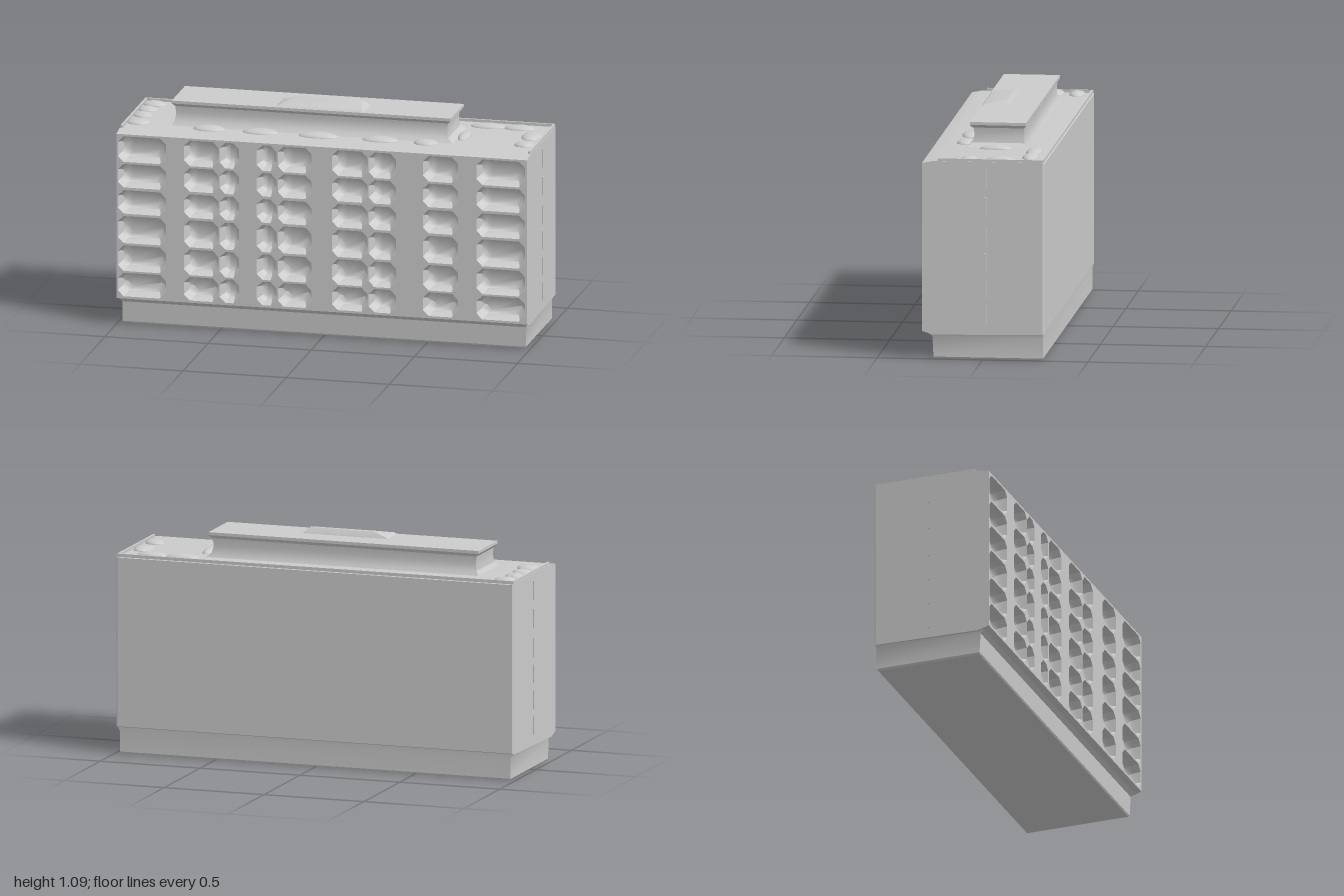
import * as THREE from 'three';
import { toCreasedNormals } from 'three/addons/utils/BufferGeometryUtils.js';

const material = new THREE.MeshStandardMaterial({ color: 0xcccccc });

// Skins rings of [x, y, z] points, with optional fan caps.
function loft(rings, capStart = true, capEnd = true, crease = 0.5) {
  const pos = [];
  const tri = (a, b, c) => pos.push(...a, ...b, ...c);
  const n = rings[0].length;
  for (let r = 0; r < rings.length - 1; r++) {
    for (let i = 0; i < n; i++) {
      const j = (i + 1) % n, a = rings[r], b = rings[r + 1];
      tri(a[i], a[j], b[j]);
      tri(a[i], b[j], b[i]);
    }
  }
  const last = rings[rings.length - 1];
  for (let i = 1; i < n - 1; i++) {
    if (capStart) tri(rings[0][0], rings[0][i + 1], rings[0][i]);
    if (capEnd) tri(last[0], last[i], last[i + 1]);
  }
  const g = new THREE.BufferGeometry();
  g.setAttribute('position', new THREE.Float32BufferAttribute(pos, 3));
  g.computeVertexNormals();
  return toCreasedNormals(g, crease);
}

// Rectangle at height y, and rectangle facing the front at depth z.
const flatRect = (y, x0, x1, z0, z1) => [[x0, y, z0], [x0, y, z1], [x1, y, z1], [x1, y, z0]];
const frontRect = (z, hx, y0, y1) => [[-hx, y0, z], [hx, y0, z], [hx, y1, z], [-hx, y1, z]];

// Rectangle with cut corners, facing the front.
function octagon(x0, x1, y0, y1, inset, z) {
  x0 += inset; x1 -= inset; y0 += inset; y1 -= inset;
  const c = Math.min(0.028, (x1 - x0) * 0.3);
  return [[x0 + c, y0, z], [x1 - c, y0, z], [x1, y0 + c, z], [x1, y1 - c, z],
    [x1 - c, y1, z], [x0 + c, y1, z], [x0, y1 - c, z], [x0, y0 + c, z]];
}

export function createModel() {
  const model = new THREE.Group();
  const add = (name, geometry, parent = model) => {
    const mesh = new THREE.Mesh(geometry, material);
    mesh.name = name;
    parent.add(mesh);
    return mesh;
  };
  const group = (name) => {
    const g = new THREE.Group();
    g.name = name;
    model.add(g);
    return g;
  };
  const front = 0.288;

  // Plinth
  add('plinth', loft([
    flatRect(0, -0.97, 0.97, -0.28, 0.23),
    flatRect(0.008, -0.978, 0.978, -0.285, 0.235),
    flatRect(0.105, -0.978, 0.978, -0.285, 0.24),
    flatRect(0.135, -0.992, 0.992, -0.288, 0.27),
  ]));

  // Main block, open where the facade closes it
  add('mainBlock', loft([
    frontRect(-0.292, 0.988, 0.13, 0.94),
    frontRect(-0.285, 0.995, 0.125, 0.945),
    frontRect(0.235, 0.995, 0.115, 0.945),
    frontRect(front, 0.995, 0.132, 0.935),
  ], true, false));

  // Facade sheet pierced by the balcony openings
  const columns = [[-0.988, -0.755], [-0.668, -0.5], [-0.495, -0.4], [-0.315, -0.22],
    [-0.213, -0.05], [0.05, 0.222], [0.228, 0.36], [0.49, 0.66], [0.75, 0.985]];
  const rows = [[0.143, 0.258], [0.267, 0.392], [0.403, 0.535],
    [0.547, 0.662], [0.675, 0.79], [0.8, 0.925]];
  const toVec = ([x, y]) => new THREE.Vector2(x, y);
  const sheet = new THREE.Shape(frontRect(front, 0.995, 0.132, 0.935).map(toVec));
  const balconies = group('balconies');
  for (const [x0, x1] of columns) {
    for (const [y0, y1] of rows) {
      sheet.holes.push(new THREE.Path(octagon(x0, x1, y0, y1, 0, front).map(toVec)));
      // Hollow niche behind each opening
      add('balconyNiche', loft([
        octagon(x0, x1, y0, y1, 0, front),
        octagon(x0, x1, y0, y1, 0.006, front - 0.035),
        octagon(x0, x1, y0, y1, 0.016, front - 0.058),
        octagon(x0, x1, y0, y1, 0.032, front - 0.07),
      ], false, true, 0.7), balconies);
    }
  }
  add('facade', new THREE.ShapeGeometry(sheet)).position.z = front;

  // Low parapet on the back and sides of the roof
  const parapet = group('parapet');
  const box = (name, w, h, d, x, y, z, parent) =>
    add(name, new THREE.BoxGeometry(w, h, d), parent).position.set(x, y, z);
  box('parapetBack', 1.98, 0.016, 0.01, 0, 0.95, -0.283, parapet);
  for (const s of [-1, 1]) box('parapetSide', 0.01, 0.016, 0.5, s * 0.988, 0.95, -0.035, parapet);

  // Weathered swellings on the roof: x, z, half width, half depth
  const swellings = group('roofSwellings');
  const spots = [[-0.93, -0.22, 0.06, 0.04], [-0.94, -0.12, 0.05, 0.04], [-0.94, -0.02, 0.05, 0.04],
    [-0.93, 0.1, 0.06, 0.05], [0.93, -0.08, 0.05, 0.07], [0.93, 0.07, 0.05, 0.04],
    [0.69, -0.21, 0.09, 0.04], [0.84, -0.21, 0.08, 0.04], [0.62, -0.02, 0.03, 0.08],
    [-0.58, 0.14, 0.08, 0.045], [-0.33, 0.14, 0.09, 0.045], [-0.05, 0.14, 0.1, 0.045],
    [0.25, 0.14, 0.09, 0.045], [0.47, 0.14, 0.06, 0.045]];
  for (const [x, z, w, d] of spots) {
    const dome = add('swelling', new THREE.SphereGeometry(1, 12, 5, 0, Math.PI * 2, 0, Math.PI / 2), swellings);
    dome.scale.set(w, 0.021, d);
    dome.position.set(x, 0.943, z);
  }

  // Rooftop house with a flared foot and an overhanging slab
  add('rooftopHouse', loft([
    flatRect(0.94, -0.775, 0.6, -0.165, 0.125),
    flatRect(0.965, -0.757, 0.568, -0.148, 0.102),
    flatRect(1.0, -0.753, 0.56, -0.143, 0.09),
    flatRect(1.035, -0.757, 0.565, -0.146, 0.094),
    flatRect(1.05, -0.77, 0.582, -0.156, 0.11),
    flatRect(1.064, -0.77, 0.582, -0.156, 0.11),
  ], false));

  // Sloped hatch on the slab
  add('roofHatch', loft([
    flatRect(1.062, -0.27, 0.16, -0.03, 0.11),
    flatRect(1.072, -0.255, 0.15, -0.025, 0.1),
    flatRect(1.092, -0.19, 0.125, -0.01, 0.01),
  ], false));

  // Slim window ribs down both end walls
  const ribs = group('endWallRibs');
  for (const s of [-1, 1]) {
    for (const y of [0.215, 0.34, 0.465, 0.59, 0.73, 0.865]) {
      box('rib', 0.01, 0.09, 0.012, s * 0.995, y, -0.014, ribs);
    }
  }
  return model;
}
